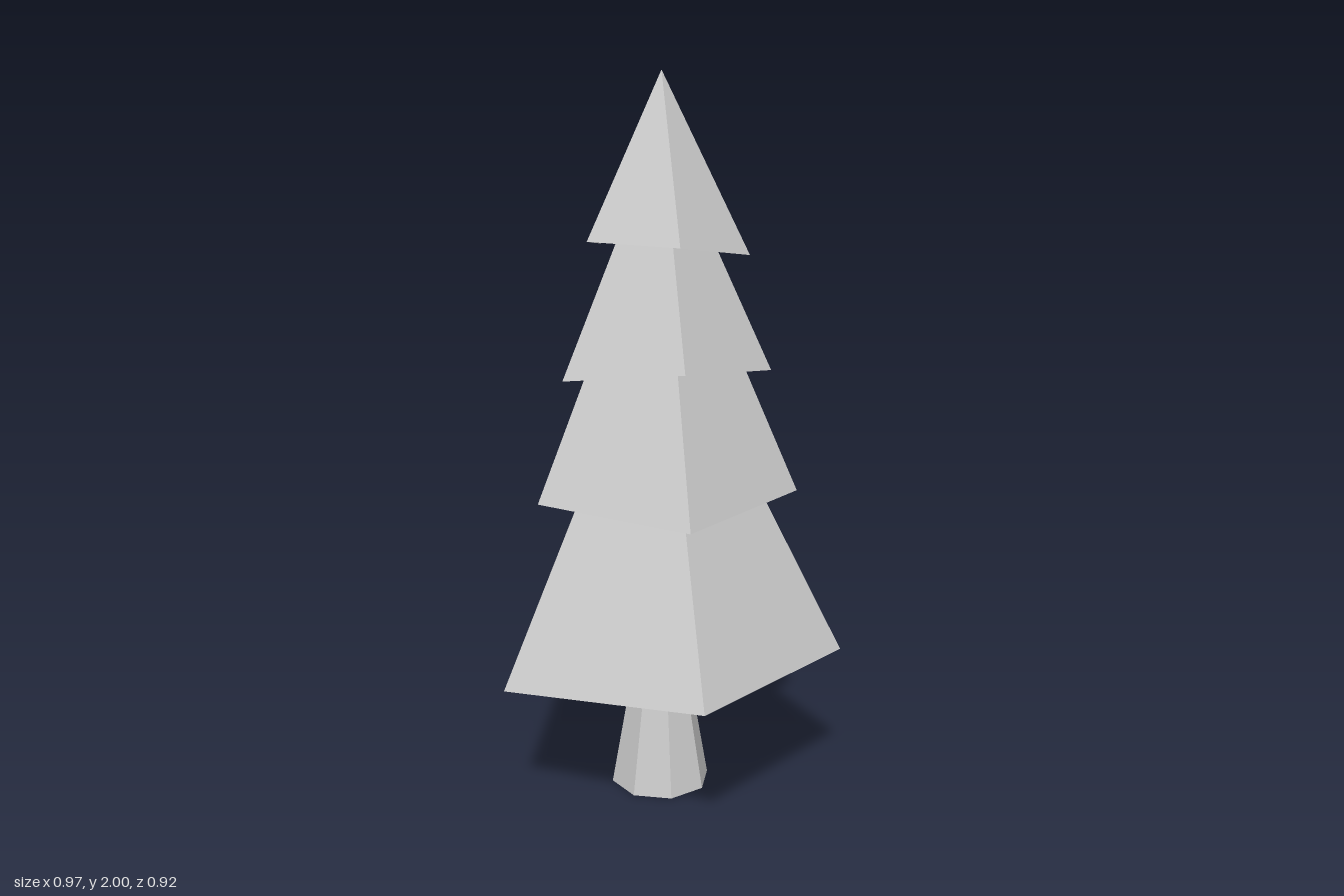
import * as THREE from 'three';

// Trunk axis, slightly off centre
const CX = -0.015, CZ = 0.047;

// Each tier: tip height, then skirt corners [x, y, z] running
// front right, right, back, left, front left
const TIERS = [
  { name: 'lowerBranches', tip: 1.42, rim: [[0.285, 0.42, 0.46], [0.48, 0.39, -0.08], [-0.015, 0.42, -0.46], [-0.485, 0.377, -0.097], [-0.31, 0.42, 0.46]] },
  { name: 'lowerMiddleBranches', tip: 1.74, rim: [[0.208, 0.88, 0.351], [0.343, 0.886, -0.069], [-0.01, 0.86, -0.317], [-0.372, 0.88, -0.071], [-0.24, 0.855, 0.35]] },
  { name: 'upperMiddleBranches', tip: 1.86, rim: [[0.162, 1.215, 0.289], [0.281, 1.213, -0.048], [-0.015, 1.247, -0.25], [-0.297, 1.204, -0.048], [-0.19, 1.246, 0.286]] },
  { name: 'topBranches', tip: 2, rim: [[0.131, 1.523, 0.234], [0.198, 1.56, -0.022], [-0.015, 1.54, -0.185], [-0.227, 1.565, -0.022], [-0.146, 1.557, 0.229]] },
];

// Hollow five-sided skirt rising from an uneven rim to a tip
function skirt({ name, tip, rim }, material) {
  const points = [];
  rim.forEach((corner, i) => {
    points.push(...corner, ...rim[(i + 1) % rim.length], CX, tip, CZ);
  });
  const geometry = new THREE.BufferGeometry();
  geometry.setAttribute('position', new THREE.Float32BufferAttribute(points, 3));
  geometry.computeVertexNormals();
  const mesh = new THREE.Mesh(geometry, material);
  mesh.name = name;
  return mesh;
}

export function createModel() {
  const group = new THREE.Group();
  group.name = 'pineTree';
  const material = new THREE.MeshStandardMaterial({ color: 0xcccccc, flatShading: true, side: THREE.DoubleSide });

  // Eight-sided trunk: flared foot, then a straight stem inside the branches
  const profile = [[0, 0], [0.142, 0], [0.073, 0.39], [0.066, 0.95], [0, 0.95]].map(([r, y]) => new THREE.Vector2(r, y));
  const trunk = new THREE.Mesh(new THREE.LatheGeometry(profile, 8, 0.17), material);
  trunk.name = 'trunk';
  trunk.position.set(CX, 0, CZ);
  group.add(trunk);

  // Stacked branch tiers
  TIERS.forEach((tier) => group.add(skirt(tier, material)));
  return group;
}
